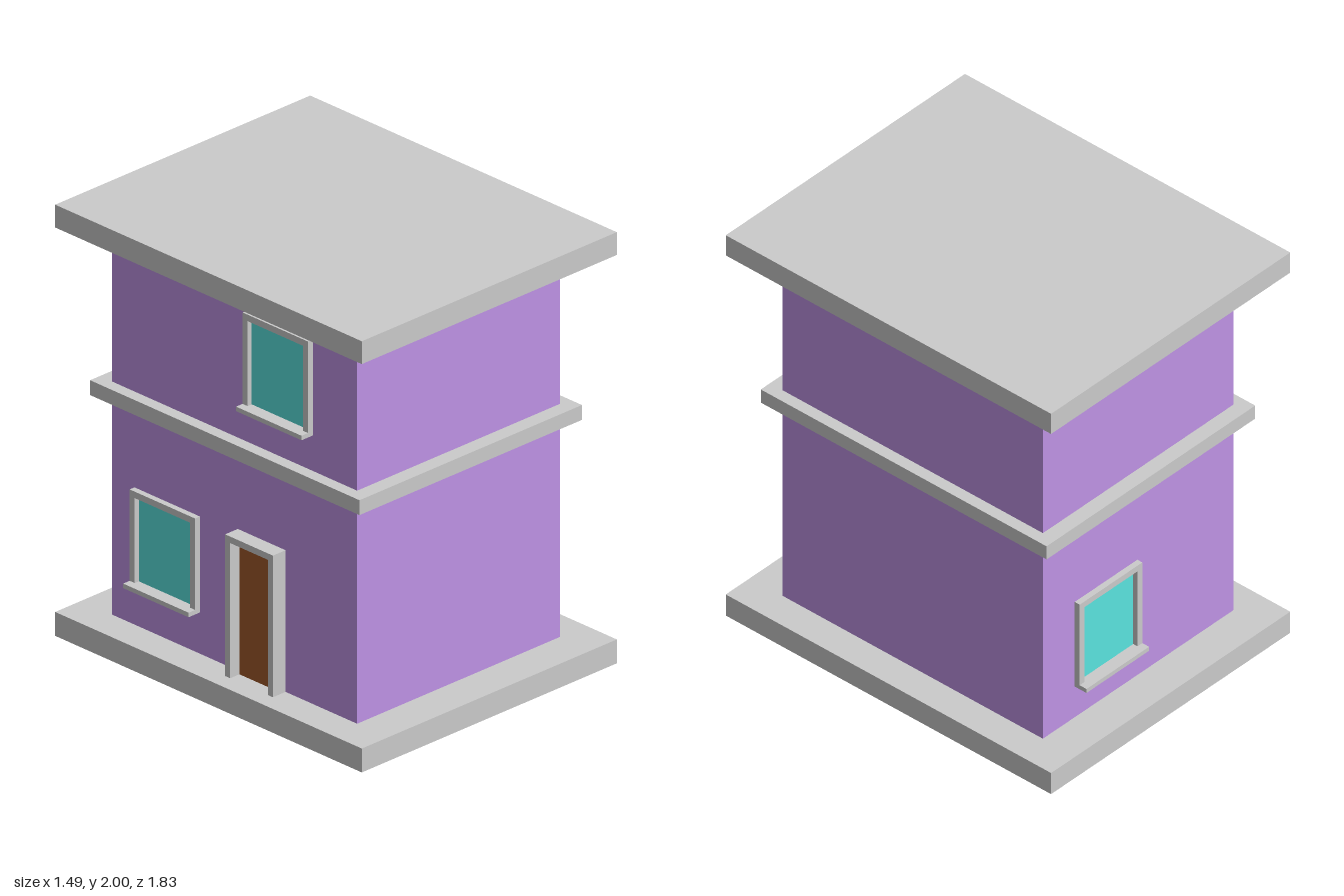
import * as THREE from 'three';

const grey = new THREE.MeshStandardMaterial({ color: 0xcccccc });
const purple = new THREE.MeshStandardMaterial({ color: 0xbf93e6 });
const teal = new THREE.MeshStandardMaterial({ color: 0x5be4e0 });
const brown = new THREE.MeshStandardMaterial({ color: 0xa0592a });

function box(name, material, size, position) {
  const mesh = new THREE.Mesh(new THREE.BoxGeometry(...size), material);
  mesh.name = name;
  mesh.position.set(...position);
  return mesh;
}

// Box centred on the vertical axis, given its bottom and top heights
function slab(name, material, width, depth, y0, y1) {
  return box(name, material, [width, y1 - y0, depth], [0, (y0 + y1) / 2, 0]);
}

// Extruded border around an opening; bottom = 0 leaves the foot open
function frame(name, width, height, bar, bottom, depth) {
  const w = width / 2, i = w - bar, t = height - bar;
  const shape = new THREE.Shape();
  const trace = (path, points) => path.setFromPoints(points.map(p => new THREE.Vector2(...p)));
  if (bottom > 0) {
    trace(shape, [[-w, 0], [w, 0], [w, height], [-w, height]]);
    shape.holes.push(trace(new THREE.Path(), [[-i, bottom], [-i, t], [i, t], [i, bottom]]));
  } else {
    trace(shape, [[-w, 0], [-i, 0], [-i, t], [i, t], [i, 0], [w, 0], [w, height], [-w, height]]);
  }
  const mesh = new THREE.Mesh(new THREE.ExtrudeGeometry(shape, { depth, bevelEnabled: false }), grey);
  mesh.name = name;
  return mesh;
}

// Window facing +z, standing on y = 0, with its back on z = 0
function createWindow(name) {
  const W = 0.39, H = 0.445;
  const group = new THREE.Group();
  group.name = name;
  group.add(
    frame('windowFrame', W, H, 0.03, 0.021, 0.028),
    box('windowPane', teal, [W - 0.06, H - 0.051, 0.004], [0, H / 2 - 0.0045, 0.002]),
    box('windowSill', grey, [W, 0.021, 0.038], [0, 0.0105, 0.047])
  );
  return group;
}

// Door facing +z, standing on y = 0, with its back on z = 0
function createDoor() {
  const W = 0.285, H = 0.657;
  const group = new THREE.Group();
  group.name = 'door';
  group.add(
    frame('doorFrame', W, H, 0.03, 0, 0.074),
    box('doorPanel', brown, [W - 0.06, H - 0.03, 0.02], [0, (H - 0.03) / 2, 0.01])
  );
  return group;
}

export function createModel() {
  const model = new THREE.Group();
  model.name = 'house';

  // Body and slabs
  model.add(
    slab('baseSlab', grey, 1.49, 1.828, 0, 0.111),
    slab('lowerWalls', purple, 1.186, 1.462, 0.111, 1.123),
    slab('floorBand', grey, 1.3, 1.606, 1.123, 1.192),
    slab('upperWalls', purple, 1.186, 1.462, 1.192, 1.894),
    slab('roofSlab', grey, 1.49, 1.828, 1.894, 2)
  );

  // Openings: part, position, rotation about y
  const openings = [
    [createWindow('backWindow'), [0.213, 0.286, -0.743], Math.PI],
    [createWindow('lowerSideWindow'), [-0.604, 0.31, -0.39], -Math.PI / 2],
    [createWindow('upperSideWindow'), [-0.601, 1.362, 0.28], -Math.PI / 2],
    [createDoor(), [-0.593, 0.111, 0.162], -Math.PI / 2]
  ];
  for (const [part, position, turn] of openings) {
    part.position.set(...position);
    part.rotation.y = turn;
    model.add(part);
  }
  return model;
}
